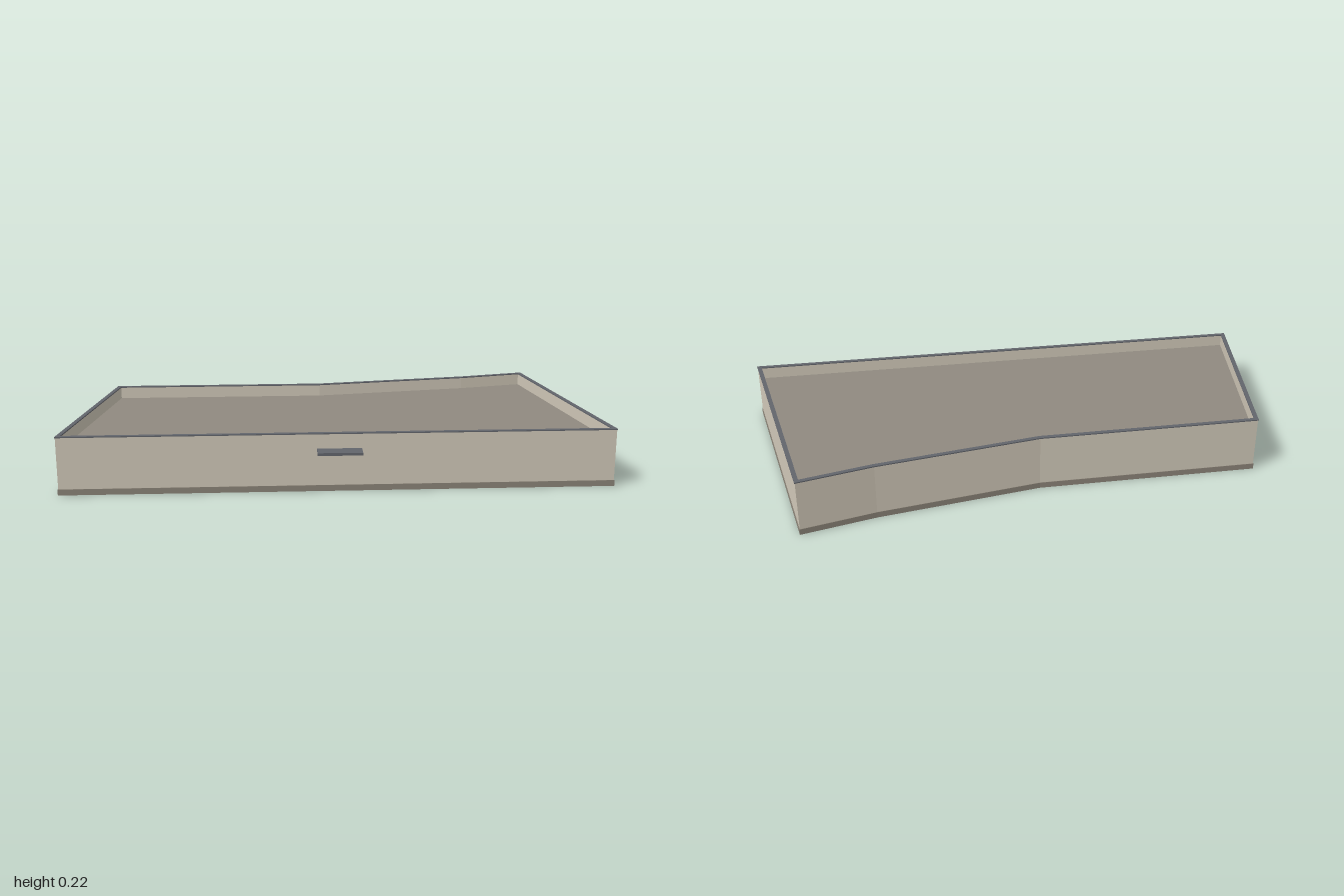
import * as THREE from 'three';

// Footprint as (x, -z), counter-clockwise from the front right-hand corner
const OUTLINE = [
  [-1, -0.455], [1, -0.432], [0.835, 0.5], [0.56, 0.432], [-0.05, 0.326], [-0.885, 0.315],
].map(([x, y]) => new THREE.Vector2(x, y));

const mat = (name, color, extra = {}) =>
  Object.assign(new THREE.MeshStandardMaterial({ color, ...extra }), { name });

// Inset a polygon by d, mitring the corners
function inset(points, d) {
  const n = points.length;
  const normal = (a, b) => {
    const e = b.clone().sub(a).normalize();
    return new THREE.Vector2(-e.y, e.x);
  };
  return points.map((p, i) => {
    const n1 = normal(points[(i + n - 1) % n], p);
    const n2 = normal(p, points[(i + 1) % n]);
    const m = n1.clone().add(n2);
    return p.clone().addScaledVector(m, d / (1 + n1.dot(n2)));
  });
}

// Upright prism on the footprint, optionally hollow
function prism(name, material, outer, inner, y0, y1) {
  const shape = new THREE.Shape(outer);
  if (inner) shape.holes.push(new THREE.Path(inner));
  const geo = new THREE.ExtrudeGeometry(shape, { depth: y1 - y0, bevelEnabled: false });
  geo.rotateX(-Math.PI / 2);
  geo.translate(0, y0, 0);
  const mesh = new THREE.Mesh(geo, material);
  mesh.name = name;
  return mesh;
}

function box(name, material, w, h, d, x, y, z) {
  const mesh = new THREE.Mesh(new THREE.BoxGeometry(w, h, d), material);
  mesh.position.set(x, y, z);
  mesh.name = name;
  return mesh;
}

export function createModel() {
  const wall = mat('wall plaster', 0xd0c8b8);
  const plinth = mat('plinth stone', 0x8a8377);
  const roof = mat('roof felt', 0x908a80);
  const metal = mat('dark metal', 0x62656c);
  const glass = mat('window glass', 0x40566e);
  const doorPaint = mat('door paint', 0x3a4c63);

  const group = new THREE.Group();
  group.name = 'building';

  const face = inset(OUTLINE, 0.002);
  const inner = inset(OUTLINE, 0.016);

  // Shell: walls with parapet, base band, coping and sunken roof
  group.add(prism('walls', wall, face, inner, 0, 0.211));
  group.add(prism('plinth', plinth, OUTLINE, face, 0, 0.022));
  group.add(prism('coping', metal, OUTLINE, inner, 0.211, 0.215));
  group.add(prism('roof', roof, inner, null, 0.16, 0.167));

  // Entrance canopy
  group.add(box('canopy', metal, 0.16, 0.01, 0.06, 0, 0.153, 0.47));

  // Windows and door along the inner face of each wall
  inner.forEach((a, i) => {
    const b = inner[(i + 1) % inner.length];
    const dir = b.clone().sub(a);
    const count = Math.max(1, Math.floor(dir.length() / 0.19));
    const angle = Math.atan2(-dir.y, -dir.x);
    for (let k = 0; k < count; k++) {
      const p = a.clone().addScaledVector(dir, (k + 0.5) / count);
      const unit = new THREE.Group();
      unit.position.set(p.x, 0, -p.y);
      unit.rotation.y = angle;
      if (i === 0 && k === 4) {
        unit.name = 'door';
        unit.add(box('doorLeaf', doorPaint, 0.09, 0.14, 0.009, 0, 0.071, 0.0045));
      } else {
        unit.name = 'window';
        unit.add(box('windowFrame', wall, 0.046, 0.062, 0.012, 0, 0.085, 0.006));
        unit.add(box('windowPane', glass, 0.042, 0.058, 0.003, 0, 0.085, 0.0125));
      }
      group.add(unit);
    }
  });
  return group;
}
